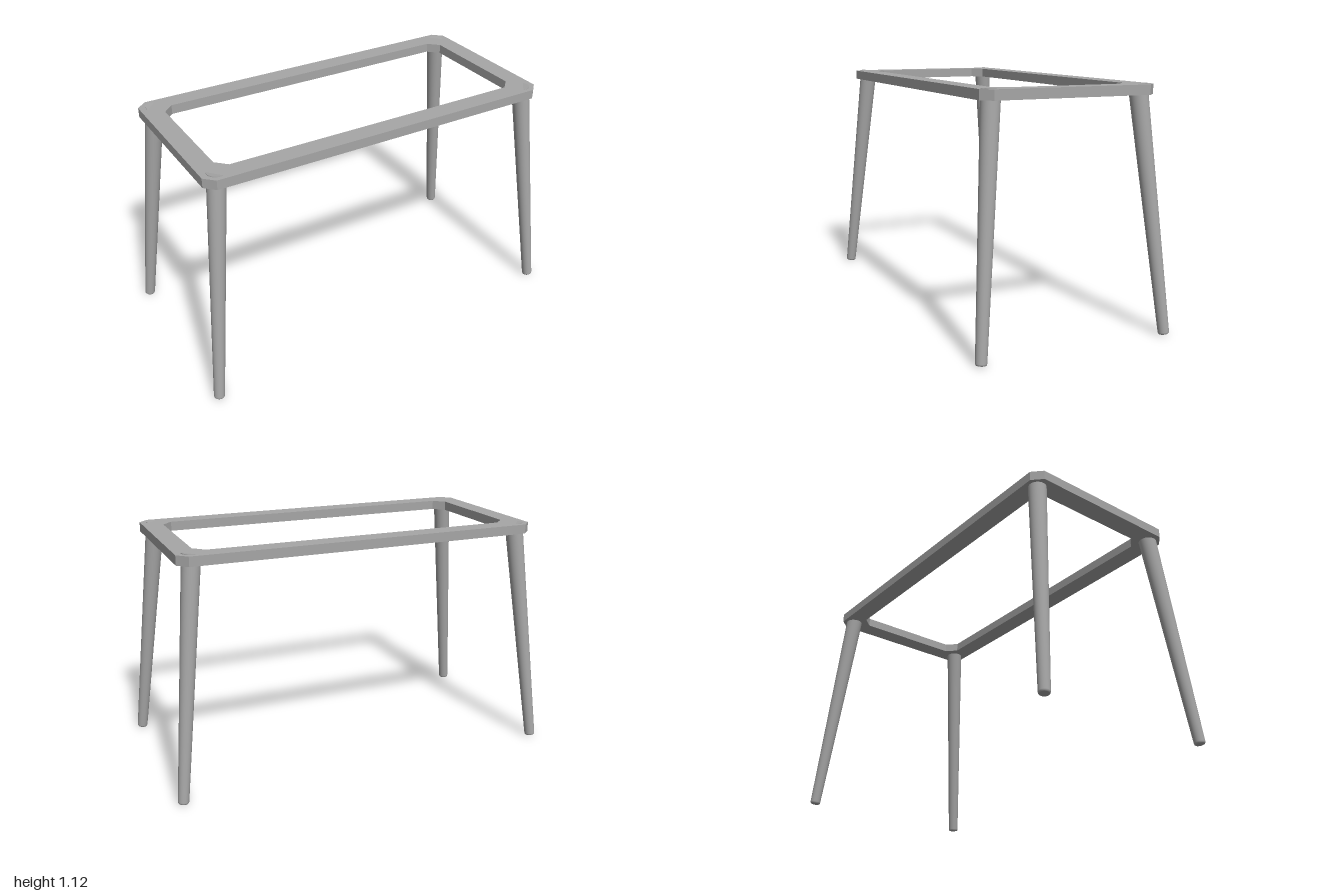
import * as THREE from 'three';

const RAIL_TOP = 1.12, RAIL_HEIGHT = 0.045;

// Points of a centred rectangle with cut corners
function cutRectangle(a, b, cut) {
  return [
    [a, -b + cut], [a, b - cut], [a - cut, b], [-a + cut, b],
    [-a, b - cut], [-a, -b + cut], [-a + cut, -b], [a - cut, -b],
  ].map(([x, y]) => new THREE.Vector2(x, y));
}

// Tapered round leg with a softened foot, running between two points
function makeLeg(foot, head, material) {
  const axis = head.clone().sub(foot);
  const length = axis.length();
  const side = [[0.021, 0], [0.024, 0.003], [0.0255, 0.009], [0.043, length]];
  const profile = [[0, 0], side[0], ...side, side[3], [0, length]];
  const leg = new THREE.Mesh(
    new THREE.LatheGeometry(profile.map(([r, y]) => new THREE.Vector2(r, y)), 32),
    material
  );
  leg.position.copy(foot);
  leg.quaternion.setFromUnitVectors(new THREE.Vector3(0, 1, 0), axis.normalize());
  return leg;
}

export function createModel() {
  const model = new THREE.Group();
  model.name = 'tableFrame';
  const grey = new THREE.MeshStandardMaterial({ color: 0xa6a6a6 });
  grey.name = 'grey';

  // The table stands diagonally
  const table = new THREE.Group();
  table.name = 'table';
  table.rotation.y = Math.PI / 4;
  model.add(table);

  // Flat rail frame with chamfered outer corners and inner corner braces
  const outline = new THREE.Shape(cutRectangle(0.88, 0.418, 0.046));
  outline.holes.push(new THREE.Path(cutRectangle(0.785, 0.323, 0.05)));
  const railGeometry = new THREE.ExtrudeGeometry(outline, { depth: RAIL_HEIGHT, bevelEnabled: false });
  railGeometry.rotateX(-Math.PI / 2);
  const rails = new THREE.Mesh(railGeometry, grey);
  rails.name = 'railFrame';
  rails.position.y = RAIL_TOP - RAIL_HEIGHT;
  table.add(rails);

  // Four splayed legs, their tops showing in the frame corners
  for (const sx of [-1, 1]) {
    for (const sz of [-1, 1]) {
      const leg = makeLeg(
        new THREE.Vector3(sx * 0.926, 0.003, sz * 0.4525),
        new THREE.Vector3(sx * 0.808, RAIL_TOP - 0.002, sz * 0.354),
        grey
      );
      leg.name = (sz > 0 ? 'front' : 'back') + (sx > 0 ? 'Left' : 'Right') + 'Leg';
      table.add(leg);
    }
  }
  return model;
}
